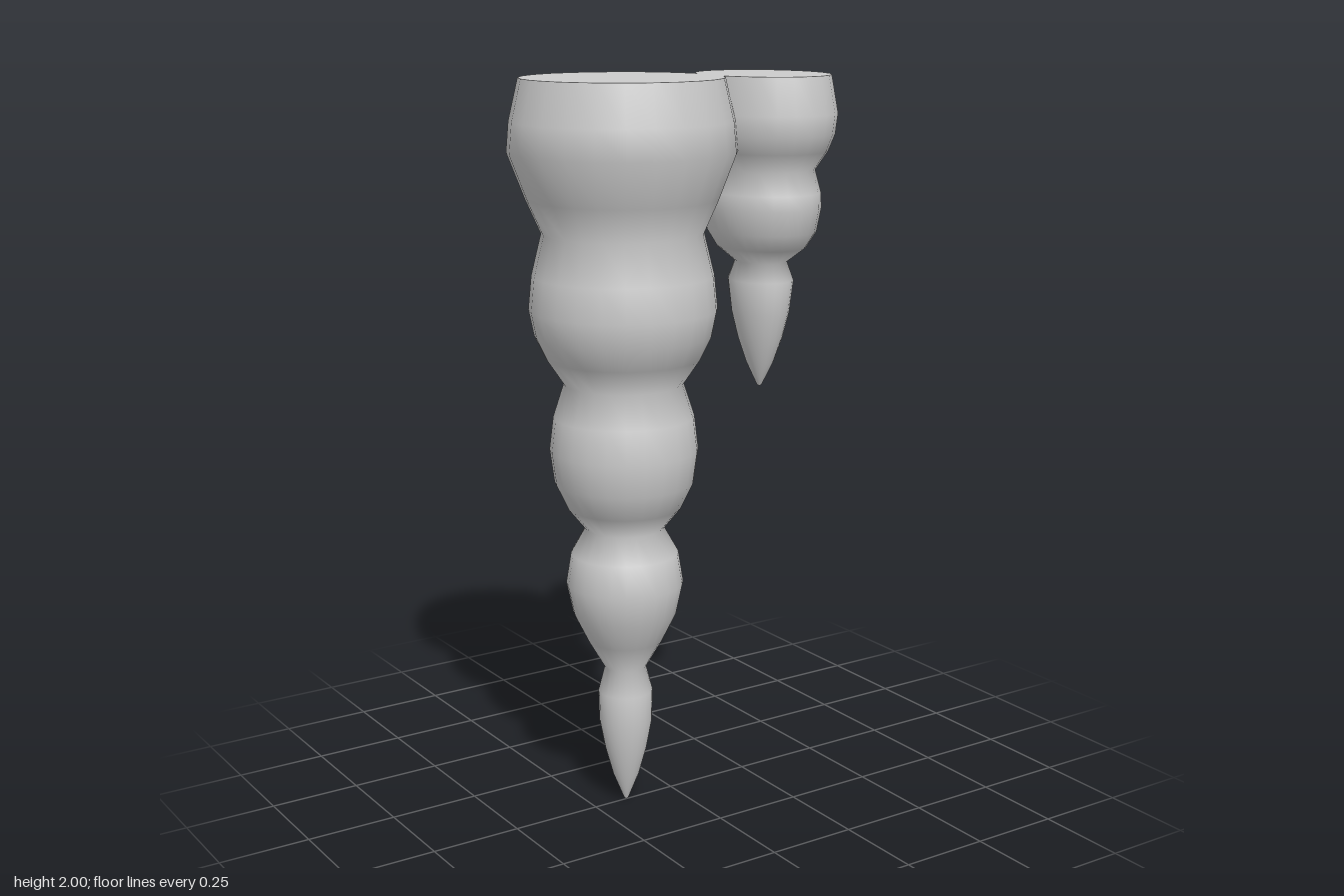
import * as THREE from 'three';

const SEGMENTS = 24;

// One hanging icicle: smooth lathed body plus a flat top cap.
function makeIcicle(name, profile, x, z, depthScale) {
  const material = new THREE.MeshStandardMaterial({ color: 0xcccccc });
  const group = new THREE.Group();
  group.name = name;

  const points = profile.map(([r, y]) => new THREE.Vector2(r, y));
  const body = new THREE.Mesh(new THREE.LatheGeometry(points, SEGMENTS), material);
  body.name = name + 'Body';

  const [topRadius, topY] = profile[profile.length - 1];
  const capGeometry = new THREE.CircleGeometry(topRadius, SEGMENTS);
  capGeometry.rotateX(-Math.PI / 2);
  const cap = new THREE.Mesh(capGeometry, material);
  cap.name = name + 'TopCap';
  cap.position.y = topY;

  group.add(body, cap);
  group.position.set(x, 0, z);
  group.scale.z = depthScale;
  return group;
}

export function createModel() {
  const model = new THREE.Group();
  model.name = 'icicles';

  // [radius, height] from the tip up, five bulges
  const large = [
    [0, 0], [0.006, 0.005], [0.036, 0.08], [0.058, 0.16], [0.073, 0.24], [0.075, 0.33],
    [0.057, 0.4], [0.103, 0.48], [0.142, 0.56], [0.16, 0.645], [0.146, 0.73],
    [0.107, 0.8], [0.155, 0.86], [0.188, 0.93], [0.2, 1.02], [0.189, 1.11],
    [0.16, 1.2], [0.207, 1.27], [0.236, 1.33], [0.25, 1.4], [0.241, 1.49],
    [0.214, 1.6], [0.254, 1.69], [0.3, 1.81], [0.293, 1.89], [0.267, 2],
  ];

  // Three bulges
  const small = [
    [0, 1.15], [0.006, 1.154], [0.035, 1.22], [0.057, 1.29], [0.073, 1.36], [0.083, 1.45],
    [0.066, 1.5], [0.112, 1.54], [0.138, 1.585], [0.149, 1.65], [0.147, 1.69],
    [0.132, 1.75], [0.163, 1.8], [0.179, 1.845], [0.185, 1.9], [0.168, 2],
  ];

  model.add(makeIcicle('largeIcicle', large, -0.15, 0, 1));
  model.add(makeIcicle('smallIcicle', small, 0.263, 0.046, 1.22));
  return model;
}
